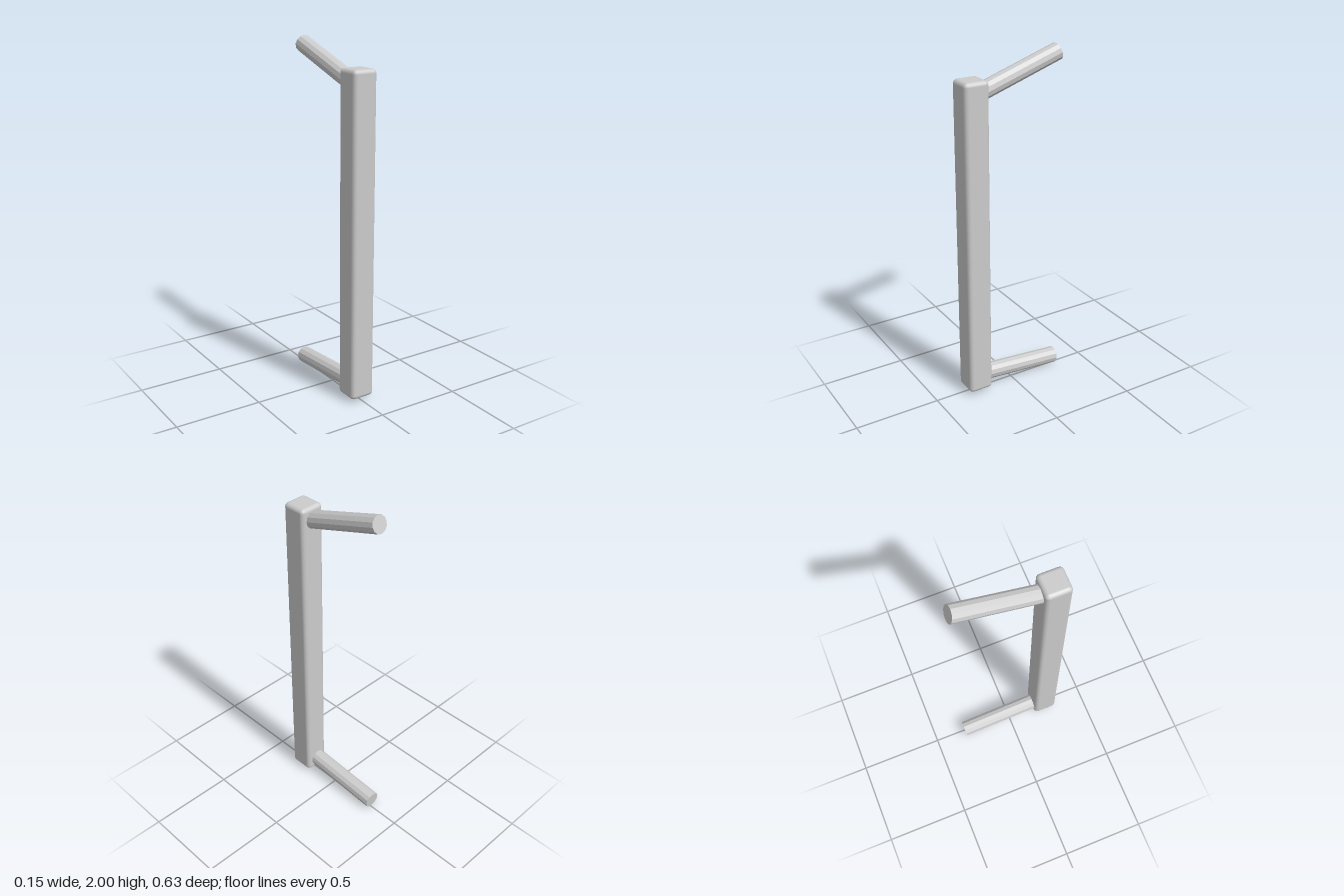
import * as THREE from 'three';
import { RoundedBoxGeometry } from 'three/addons/geometries/RoundedBoxGeometry.js';

const smooth = new THREE.MeshStandardMaterial({ color: 0xcccccc });
const faceted = new THREE.MeshStandardMaterial({ color: 0xcccccc, flatShading: true });

// Twelve-sided rod running from one point to another
function rod(name, from, to, radius) {
  const a = new THREE.Vector3(...from), b = new THREE.Vector3(...to);
  const mesh = new THREE.Mesh(new THREE.CylinderGeometry(radius, radius, a.distanceTo(b), 12), faceted);
  mesh.name = name;
  mesh.position.copy(a).add(b).multiplyScalar(0.5);
  mesh.quaternion.setFromUnitVectors(new THREE.Vector3(0, 1, 0), b.sub(a).normalize());
  return mesh;
}

export function createModel() {
  const group = new THREE.Group();
  group.name = 'pullHandle';

  // Upright square grip with softened edges
  const grip = new THREE.Mesh(new RoundedBoxGeometry(0.146, 1.85, 0.146, 2, 0.024), smooth);
  grip.name = 'grip';
  grip.position.set(0, 0.945, 0.24);
  group.add(grip);

  // Mounting rods reaching back, each at its own tilt
  group.add(rod('upperMount', [-0.003, 1.788, 0.2], [-0.003, 1.9535, -0.297], 0.049));
  group.add(rod('lowerMount', [-0.006, 0.091, 0.2], [-0.006, 0.05, -0.308], 0.049));
  return group;
}
